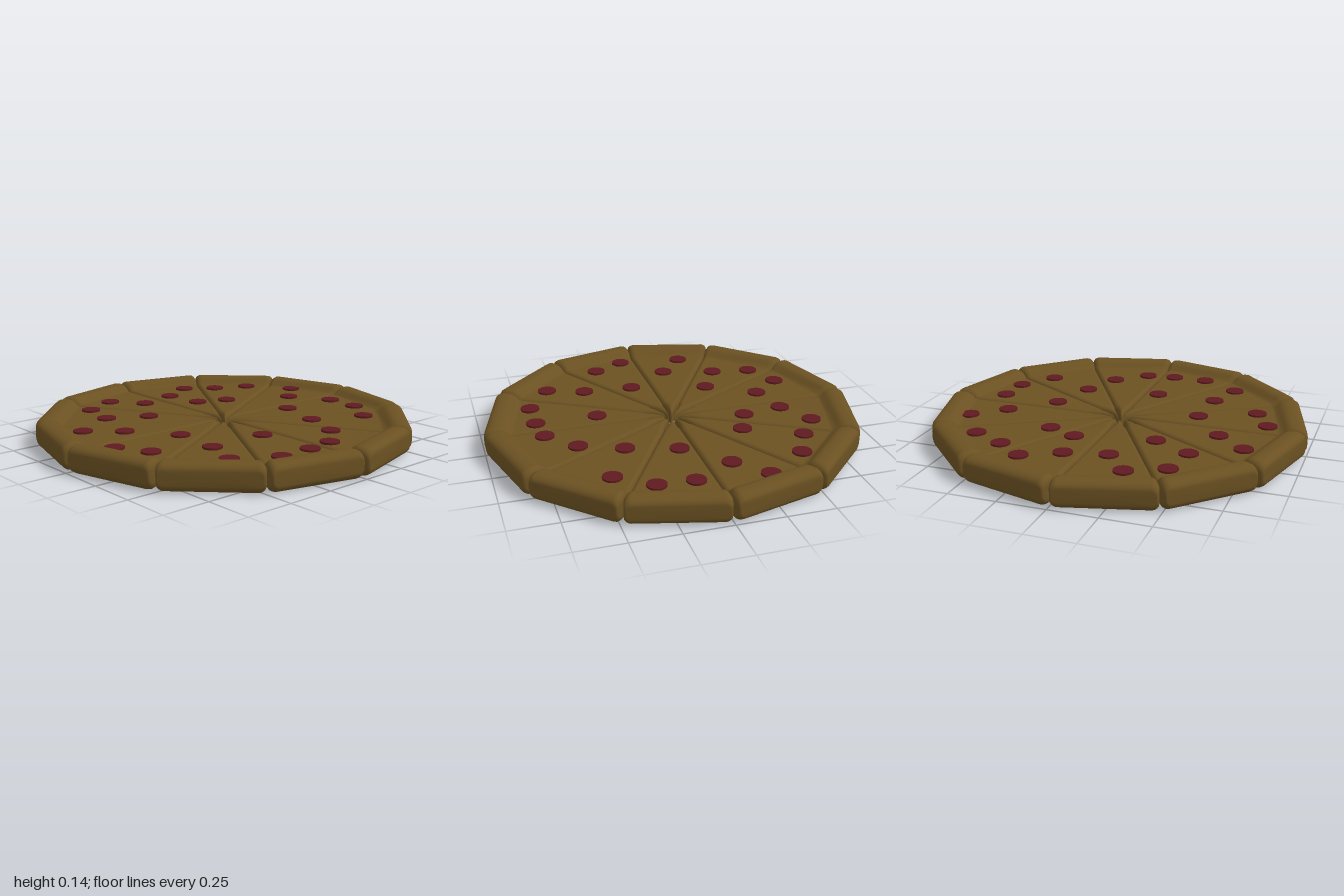
import * as THREE from 'three';

const SLICES = 12;
const HALF = Math.tan(Math.PI / SLICES);
const ARC = 4; // segments per rounded corner

// Wedge stations from tip to rim: distance, half width, bottom, top, corner radius
const STATIONS = [
  [0.035, 0.002, 0.03, 0.07, 0.015],
  [0.05, 0.05 * HALF - 0.008, 0.01, 0.092, 0.02],
  [0.1, 0.1 * HALF - 0.007, 0, 0.1, 0.025],
  [0.14, 0.14 * HALF - 0.006, 0, 0.1, 0.025],
  [0.17, 0.17 * HALF - 0.001, 0, 0.1, 0.025],
  [0.5, 0.5 * HALF - 0.001, 0, 0.1, 0.025],
  [0.82, 0.82 * HALF - 0.001, 0, 0.1, 0.025],
  [0.84, 0.84 * HALF - 0.001, 0, 0.104, 0.027],
  [0.86, 0.86 * HALF - 0.001, 0, 0.125, 0.03],
  [0.88, 0.88 * HALF - 0.001, 0, 0.137, 0.033],
  [0.9, 0.9 * HALF - 0.001, 0, 0.14, 0.035],
  [0.925, 0.246, 0, 0.14, 0.035],
  [0.945, 0.247, 0.004, 0.136, 0.035],
  [0.96, 0.245, 0.014, 0.127, 0.033],
  [0.968, 0.241, 0.025, 0.116, 0.03],
  [0.971, 0.234, 0.036, 0.105, 0.025],
];

// Rounded-rectangle outline, counter-clockwise
function outline(w, bottom, top, radius) {
  const rx = Math.min(radius, w);
  const ry = Math.min(radius, (top - bottom) / 2);
  const corners = [[w - rx, top - ry], [rx - w, top - ry], [rx - w, bottom + ry], [w - rx, bottom + ry]];
  return corners.flatMap(([cx, cy], c) =>
    Array.from({ length: ARC + 1 }, (_, k) => {
      const a = (c + k / ARC) * Math.PI / 2;
      return [cx + rx * Math.cos(a), cy + ry * Math.sin(a)];
    }));
}

function sliceGeometry() {
  const pos = [], index = [];
  const n = 4 * (ARC + 1);
  for (const [t, w, bottom, top, r] of STATIONS)
    for (const [x, y] of outline(w, bottom, top, r)) pos.push(x, y, t);
  const last = STATIONS.length - 1;
  for (let i = 0; i < last; i++) {
    for (let j = 0; j < n; j++) {
      const k = (j + 1) % n;
      const a = i * n + j, b = i * n + k, c = b + n, d = a + n;
      index.push(a, b, c, a, c, d);
    }
  }
  // close the tip and the outer rim
  const tip = pos.length / 3;
  const rim = tip + 1;
  for (const s of [STATIONS[0], STATIONS[last]]) pos.push(0, (s[2] + s[3]) / 2, s[0]);
  for (let j = 0; j < n; j++) {
    const k = (j + 1) % n;
    index.push(tip, k, j, rim, last * n + j, last * n + k);
  }
  const g = new THREE.BufferGeometry();
  g.setAttribute('position', new THREE.Float32BufferAttribute(pos, 3));
  g.setIndex(index);
  g.computeVertexNormals();
  return g;
}

// Topping centres (x, z)
const TOPPINGS = [
  [-0.26, -0.7], [-0.45, -0.61], [-0.13, -0.54], [-0.49, -0.4], [-0.29, -0.29],
  [-0.73, -0.26], [-0.57, -0.12], [0.28, -0.69], [0.09, -0.59], [0.43, -0.58],
  [0.61, -0.49], [0.12, -0.37], [0.28, -0.3], [0.77, -0.26], [0.61, -0.12],
  [-0.78, 0.09], [-0.4, 0.12], [-0.69, 0.26], [-0.42, 0.39], [-0.09, 0.39],
  [-0.49, 0.59], [-0.28, 0.72], [-0.09, 0.72], [0.07, 0.7], [0.23, 0.56],
  [0.32, 0.34], [0.59, 0.47], [0.72, 0.29], [0.73, 0.1], [0.4, 0.08],
];

export function createModel() {
  const pizza = new THREE.Group();
  pizza.name = 'pizza';
  const dough = new THREE.MeshStandardMaterial({ color: 0x6b5122 });
  const meat = new THREE.MeshStandardMaterial({ color: 0x5e1a1f });

  // Slices with a raised crust at the rim
  const wedge = sliceGeometry();
  for (let i = 0; i < SLICES; i++) {
    const slice = new THREE.Mesh(wedge, dough);
    slice.name = 'slice';
    slice.rotation.y = (i + 0.5) * 2 * Math.PI / SLICES;
    pizza.add(slice);
  }

  // Thin round toppings
  const disc = new THREE.CylinderGeometry(0.05, 0.05, 0.02, 32);
  for (const [x, z] of TOPPINGS) {
    const topping = new THREE.Mesh(disc, meat);
    topping.name = 'pepperoni';
    topping.position.set(x, 0.1, z);
    pizza.add(topping);
  }
  return pizza;
}
